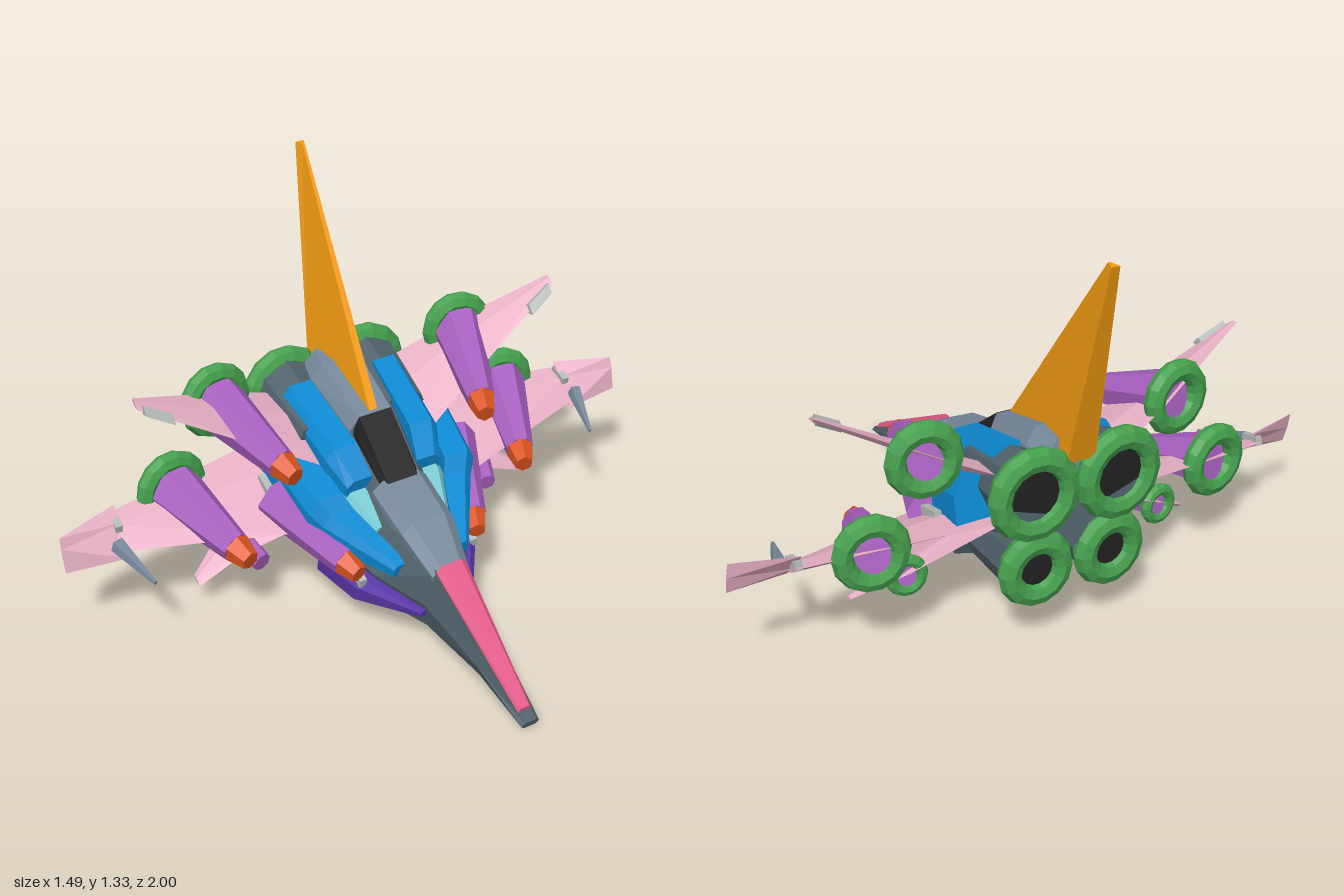
import * as THREE from 'three';

// Ship frame: coordinates are [left, up, forward], origin between the main thrusters
const FRAME = new THREE.Matrix4().makeBasis(
  new THREE.Vector3(0.362, 0.048, -0.931),
  new THREE.Vector3(0.229, 0.964, 0.139),
  new THREE.Vector3(0.872, -0.266, 0.4125),
).setPosition(-0.57, 0.40, -0.12);

const COLORS = {
  hull: 0x50616b, panel: 0x76889a, blue: 0x0d8ad2, teal: 0x7acbd3, purple: 0xa860c0, green: 0x46a04e,
  red: 0xdc5420, pink: 0xe8b0c6, rose: 0xe25a88, orange: 0xf39c12, black: 0x222222, indigo: 0x5a35a8, pale: 0xb4bab8,
};
const MATS = {};
for (const [k, color] of Object.entries(COLORS)) {
  MATS[k] = new THREE.MeshStandardMaterial({ color, flatShading: true });
}

// Place a closed geometry in the ship frame; faces are turned outward by signed volume
function bake(geo, mirror) {
  const g = geo.index ? geo.toNonIndexed() : geo.clone();
  if (mirror) g.scale(-1, 1, 1);
  g.applyMatrix4(FRAME);
  const p = g.attributes.position;
  const a = new THREE.Vector3(), b = new THREE.Vector3(), c = new THREE.Vector3();
  const o = new THREE.Vector3().fromBufferAttribute(p, 0);
  let vol = 0;
  for (let i = 0; i < p.count; i += 3) {
    a.fromBufferAttribute(p, i).sub(o);
    b.fromBufferAttribute(p, i + 1).sub(o);
    c.fromBufferAttribute(p, i + 2).sub(o);
    vol += a.dot(b.cross(c));
  }
  if (vol < 0) {
    for (let i = 0; i < p.count; i += 3) {
      b.fromBufferAttribute(p, i + 1);
      c.fromBufferAttribute(p, i + 2);
      p.setXYZ(i + 1, c.x, c.y, c.z);
      p.setXYZ(i + 2, b.x, b.y, b.z);
    }
  }
  g.computeVertexNormals();
  return g;
}

// Skin a row of cross-sections and cap both ends
function loft(sections) {
  const n = sections[0].length, last = (sections.length - 1) * n, idx = [];
  for (let i = 0; i < sections.length - 1; i++) {
    for (let j = 0; j < n; j++) {
      const a = i * n + j, b = i * n + (j + 1) % n;
      idx.push(a, b, b + n, a, b + n, a + n);
    }
  }
  for (let j = 1; j < n - 1; j++) idx.push(0, j + 1, j, last, last + j, last + j + 1);
  const g = new THREE.BufferGeometry();
  g.setAttribute('position', new THREE.Float32BufferAttribute(sections.flat(2), 3));
  g.setIndex(idx);
  return g;
}

// Six-sided symmetric body: [f, topHalf, topU, midHalf, midU, lowHalf, lowU]
const body = (rows) => loft(rows.map(([f, t, tu, m, mu, l, lu]) => [
  [t, tu, f], [m, mu, f], [l, lu, f], [-l, lu, f], [-m, mu, f], [-t, tu, f]]));

// Block along the ship: [f, s, u, halfWidth, halfHeight], slightly chamfered on the outside
const block = (rows) => loft(rows.map(([f, s, u, w, h]) => [
  [s - w, u + h, f], [s + w * 0.5, u + h, f], [s + w, u + h * 0.3, f], [s + w, u - h, f], [s - w, u - h, f]]));

// Thin wing: [s, leadF, leadU, trailF, trailU, halfThickness]
const wing = (rows) => loft(rows.map(([s, lf, lu, tf, tu, h]) => {
  const mf = lf * 0.4 + tf * 0.6, mu = lu * 0.4 + tu * 0.6;
  return [[s, lu, lf], [s, mu + h, mf], [s, tu, tf], [s, mu - h, mf]];
}));

// Turn a +z geometry to point along a direction, starting at a
function aim(geo, a, dir) {
  const d = new THREE.Vector3(...dir).normalize();
  geo.applyQuaternion(new THREE.Quaternion().setFromUnitVectors(new THREE.Vector3(0, 0, 1), d));
  return geo.translate(...a);
}
const cone = (r0, r1, len, sides = 7) =>
  new THREE.CylinderGeometry(r1, r0, len, sides).rotateX(Math.PI / 2).translate(0, 0, len / 2);
const ring = (outer, tube) => new THREE.TorusGeometry(outer - tube, tube, 8, 14);

export function createModel() {
  const model = new THREE.Group();
  model.name = 'starfighter';
  const add = (name, geo, mat, mirror = false) => {
    const mesh = new THREE.Mesh(bake(geo, mirror), MATS[mat]);
    mesh.name = name;
    model.add(mesh);
  };
  const pair = (name, geo, mat) => {
    add(name + 'Left', geo, mat);
    add(name + 'Right', geo, mat, true);
  };

  // Fuselage and nose
  add('fuselage', body([
    [0.02, 0.10, 0.20, 0.18, 0.03, 0.12, -0.09],
    [0.30, 0.10, 0.22, 0.23, 0.0, 0.17, -0.145],
    [0.54, 0.08, 0.17, 0.23, -0.02, 0.18, -0.21],
    [0.76, 0.07, 0.14, 0.17, -0.02, 0.13, -0.155],
    [0.96, 0.05, 0.125, 0.085, 0.0, 0.07, -0.095],
    [1.25, 0.035, 0.06, 0.052, 0.01, 0.04, -0.03],
    [1.50, 0.02, 0.01, 0.032, 0.0, 0.02, -0.01]]), 'hull');
  add('noseStripe', body([
    [0.95, 0.035, 0.15, 0.055, 0.13, 0.05, 0.10],
    [1.46, 0.016, 0.03, 0.024, 0.018, 0.02, 0.0]]), 'rose');
  add('noseDeck', body([
    [0.57, 0.065, 0.185, 0.10, 0.15, 0.10, 0.05],
    [0.78, 0.06, 0.18, 0.095, 0.15, 0.08, 0.05],
    [0.95, 0.035, 0.135, 0.065, 0.11, 0.06, 0.04]]), 'panel');
  add('canopy', body([
    [0.36, 0.06, 0.282, 0.075, 0.24, 0.08, 0.12],
    [0.59, 0.055, 0.185, 0.07, 0.16, 0.08, 0.12]]), 'black');
  add('spine', body([
    [-0.02, 0.05, 0.27, 0.09, 0.22, 0.09, 0.10],
    [0.08, 0.07, 0.295, 0.11, 0.24, 0.11, 0.10],
    [0.36, 0.06, 0.28, 0.09, 0.23, 0.10, 0.10]]), 'panel');

  // Tall tail fin, thickest at its trailing face and leaning slightly to the left
  add('tailFin', loft([[0, 0.36, 0.27, -0.07, 0.2, 0.052], [0.04, -0.39, 0.845, -0.425, 0.835, 0.015]].map(
    ([s, lf, lu, tf, tu, h]) => [[s - h * 0.3, lu, lf], [s + h * 0.3, lu, lf], [s + h, tu, tf], [s - h, tu, tf]])), 'orange');

  // Blue side fairings, intakes and lower strakes
  pair('upperFairing', block([
    [0.10, 0.175, 0.19, 0.055, 0.065], [0.43, 0.155, 0.19, 0.055, 0.055], [0.53, 0.13, 0.15, 0.045, 0.03]]), 'blue');
  pair('sideFairing', block([
    [0.13, 0.295, 0.10, 0.06, 0.075], [0.53, 0.255, 0.085, 0.06, 0.065], [0.58, 0.225, 0.06, 0.055, 0.05],
    [0.83, 0.115, 0.05, 0.025, 0.022]]), 'blue');
  pair('intake', block([
    [0.36, 0.15, 0.10, 0.05, 0.055], [0.55, 0.135, 0.085, 0.05, 0.05], [0.68, 0.11, 0.07, 0.03, 0.03]]), 'teal');
  pair('strake', block([
    [0.56, 0.235, -0.095, 0.045, 0.042], [0.74, 0.18, -0.08, 0.05, 0.042], [0.96, 0.085, -0.035, 0.012, 0.012]]), 'indigo');

  // Three tiers of wings
  pair('mainWing', wing([
    [0.12, 0.56, -0.01, 0.04, 0.025, 0.03],
    [0.36, 0.485, -0.01, 0.08, 0.025, 0.025],
    [0.88, 0.32, -0.015, 0.17, 0.015, 0.014]]), 'pink');
  pair('wingTip', wing([
    [0.86, 0.33, -0.045, 0.175, 0.05, 0.014],
    [1.068, 0.305, -0.045, 0.25, 0.06, 0.01]]), 'pink');
  pair('upperWing', wing([
    [0.15, 0.42, 0.13, 0.02, 0.14, 0.025],
    [0.40, 0.32, 0.25, 0.05, 0.26, 0.02],
    [0.78, 0.195, 0.445, 0.145, 0.452, 0.008]]), 'pink');
  pair('upperWingPlate', wing([
    [0.67, 0.255, 0.39, 0.20, 0.395, 0.018],
    [0.76, 0.225, 0.435, 0.175, 0.44, 0.018]]), 'pale');
  pair('lowerWing', wing([
    [0.15, 0.45, -0.01, 0.12, 0.01, 0.02],
    [0.48, 0.40, -0.13, 0.24, -0.12, 0.015],
    [0.645, 0.41, -0.20, 0.36, -0.195, 0.008]]), 'pink');

  // Tapered pods: rear centre, front end, rear radius, front radius, tip length, ring radius
  const pods = [
    ['upperPod', [0.466, 0.276, 0.08], [0.357, 0.262, 0.505], 0.096, 0.05, 0.075, 0.13],
    ['wingPod', [0.645, 0.013, 0.145], [0.525, 0.004, 0.55], 0.096, 0.05, 0.075, 0.13],
    ['innerPod', [0.34, 0.015, 0.34], [0.224, 0.0, 0.75], 0.085, 0.046, 0.07, 0],
    ['smallPod', [0.485, -0.13, 0.265], [0.44, -0.13, 0.46], 0.05, 0.032, 0, 0.073],
  ];
  // Rings stand upright, so their axis is raised against the diving hull
  const podAxis = [-0.15, 0.24, 0.96], thrusterAxis = [-0.05, 0.26, 0.96];
  for (const [name, a, b, r0, r1, tip, ringR] of pods) {
    const dir = b.map((v, i) => v - a[i]);
    const len = Math.hypot(...dir);
    pair(name + 'Body', aim(cone(r0, r1, len - tip), a, dir), 'purple');
    if (tip) pair(name + 'Tip', aim(cone(r1, r1 * 0.65, tip, 6).translate(0, 0, len - tip), a, dir), 'red');
    if (ringR) pair(name + 'Ring', aim(ring(ringR, ringR * 0.28), a, podAxis), 'green');
  }

  // Main thrusters with dark nozzles
  const thrusters = [
    ['upperThruster', [0.155, 0.12, -0.03], 0.16],
    ['lowerThruster', [0.137, -0.135, 0.04], 0.132],
  ];
  for (const [name, at, r] of thrusters) {
    pair(name + 'Body', aim(cone(r * 0.82, r * 0.6, 0.32, 8), at, [0, 0.1, 1]), 'hull');
    pair(name + 'Ring', aim(ring(r, 0.04), at, thrusterAxis), 'green');
    pair(name + 'Nozzle', aim(cone(r * 0.72, r * 0.72, 0.02, 12).translate(0, 0, -0.01), at, thrusterAxis), 'black');
  }

  // Wing spikes and small pale gun barrels
  pair('wingSpike', aim(cone(0.028, 0.007, 0.21, 5), [0.89, 0.0, 0.30], [-0.055, 0, 0.2]), 'panel');
  const guns = [[0.36, 0.035, 0.25, 0.16], [0.21, -0.04, 0.62, 0.14], [0.87, 0.02, 0.18, 0.08]];
  for (const [s, u, f, len] of guns) {
    pair('gunBarrel', new THREE.BoxGeometry(0.025, 0.03, len).translate(s, u, f + len / 2), 'pale');
  }
  return model;
}
